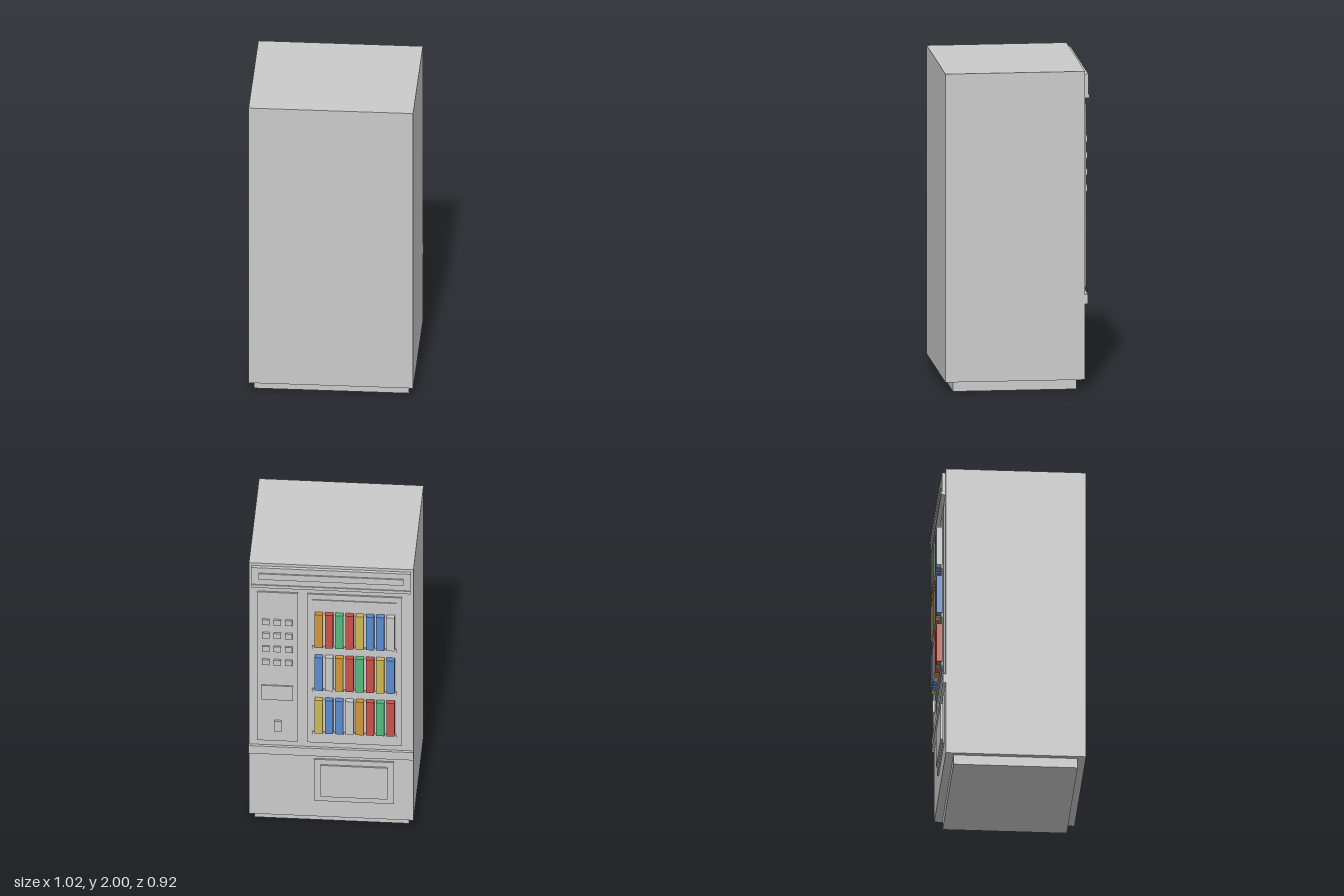
import * as THREE from 'three';

const BACK = -0.41; // cabinet face that carries the display

export function createModel() {
  const model = new THREE.Group();
  model.name = 'vendingMachine';

  const paint = (name, color) => {
    const m = new THREE.MeshStandardMaterial({ color });
    m.name = name;
    return m;
  };
  const grey = paint('cabinetGrey', 0xcacaca);
  const cans = {
    w: grey,
    o: paint('orange', 0xd0963a),
    r: paint('red', 0xc9524a),
    g: paint('green', 0x55b97c),
    y: paint('yellow', 0xccb752),
    b: paint('blue', 0x5a8acf),
  };

  // Box given by its limits on each axis
  const block = (name, x0, x1, y0, y1, z0, z1, material = grey, parent = model) => {
    const mesh = new THREE.Mesh(new THREE.BoxGeometry(x1 - x0, y1 - y0, z1 - z0), material);
    mesh.position.set((x0 + x1) / 2, (y0 + y1) / 2, (z0 + z1) / 2);
    mesh.name = name;
    parent.add(mesh);
    return mesh;
  };
  // Plate standing on the display face, reaching out to zOut
  const plate = (name, x0, x1, y0, y1, zOut, parent = model) =>
    block(name, x0, x1, y0, y1, zOut, BACK + 0.005, grey, parent);

  // Cabinet and plinth
  block('cabinet', -0.51, 0.51, 0.063, 2, BACK, 0.46);
  block('plinth', -0.48, 0.48, 0, 0.063, -0.36, 0.41);

  // Header sign with raised strip and lower lip
  plate('header', -0.493, 0.493, 1.835, 1.98, -0.432);
  plate('headerStrip', -0.45, 0.45, 1.895, 1.94, -0.44);
  plate('headerLip', -0.493, 0.493, 1.83, 1.852, -0.438);

  // Ledge between display and delivery door
  plate('ledge', -0.512, 0.512, 0.54, 0.6, -0.428);

  // Control panel
  const controls = new THREE.Group();
  controls.name = 'controls';
  model.add(controls);
  plate('controlPanel', 0.205, 0.458, 0.64, 1.785, -0.42, controls);
  for (let row = 0; row < 4; row++) {
    for (let col = -1; col <= 1; col++) {
      const x = 0.333 + col * 0.071, y = 1.56 - row * 0.103;
      plate('keypadButton', x - 0.022, x + 0.022, y - 0.02, y + 0.02, -0.433, controls);
    }
  }
  plate('priceDisplay', 0.235, 0.43, 0.96, 1.07, -0.428, controls);
  plate('coinSlot', 0.307, 0.35, 0.72, 0.8, -0.435, controls);

  // Display window
  plate('windowFrame', -0.44, 0.148, 0.64, 1.785, -0.42);
  plate('windowPane', -0.405, 0.117, 0.685, 1.745, -0.426);

  // Shelves and the products on them, listed from the model's left
  const rows = ['orgrybbw', 'bworgryb', 'ybbworgr'];
  rows.forEach((colours, i) => {
    const shelf = new THREE.Group();
    shelf.name = 'shelfRow';
    model.add(shelf);
    const y = 1.4 - i * 0.33;
    plate('shelf', -0.405, 0.117, y - 0.03, y - 0.006, -0.433, shelf);
    [...colours].forEach((c, j) => {
      const x = 0.074 - j * 0.0635;
      block('product', x - 0.025, x + 0.025, y, y + 0.255, -0.459, -0.424, cans[c], shelf);
    });
  });

  // Delivery door
  plate('doorFrame', -0.39, 0.105, 0.19, 0.51, -0.42);
  plate('doorFlap', -0.35, 0.065, 0.23, 0.472, -0.43);

  return model;
}
